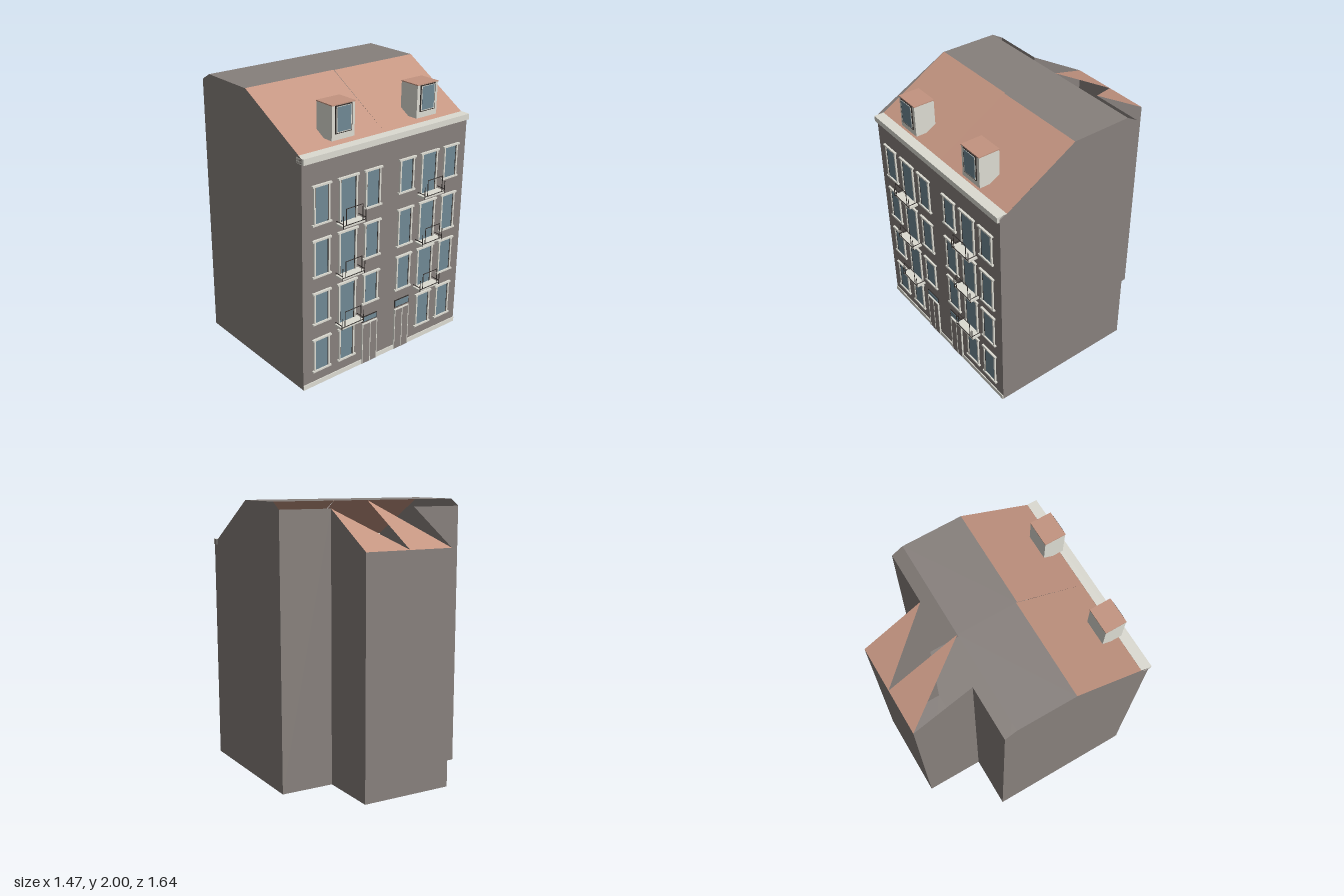
import * as THREE from 'three';

const mat = (name, color, side = THREE.FrontSide) => {
  const m = new THREE.MeshStandardMaterial({ color, side });
  m.name = name;
  return m;
};

export function createModel() {
  const model = new THREE.Group();
  model.name = 'townHouses';
  const wall = mat('wallGrey', 0x87807c, THREE.DoubleSide);
  const tile = mat('roofTile', 0xc39480, THREE.DoubleSide);
  const cream = mat('creamTrim', 0xdcdbd2);
  const glass = mat('windowGlass', 0x708894);
  const dark = mat('darkIron', 0x35302e);

  // Flat convex panel from its corner points
  const panel = (name, material, pts) => {
    const tris = [];
    for (let i = 1; i < pts.length - 1; i++) tris.push(...pts[0], ...pts[i], ...pts[i + 1]);
    const g = new THREE.BufferGeometry();
    g.setAttribute('position', new THREE.Float32BufferAttribute(tris, 3));
    g.computeVertexNormals();
    const m = new THREE.Mesh(g, material);
    m.name = name;
    model.add(m);
  };
  // Box given by its min and max on each axis
  const box = (name, material, x0, x1, y0, y1, z0, z1, parent = model) => {
    const m = new THREE.Mesh(new THREE.BoxGeometry(x1 - x0, y1 - y0, z1 - z0), material);
    m.position.set((x0 + x1) / 2, (y0 + y1) / 2, (z0 + z1) / 2);
    m.name = name;
    parent.add(m);
    return m;
  };

  const L = -0.735, R = 0.73, W = 0.34; // outer walls and half width of the rear wing
  const F = 0.745, B = -0.37, E = -0.82; // front, main back, wing back
  const eave = 1.69, backTop = 1.95;

  // Front wall, gables and rear walls
  panel('frontWall', wall, [[L, 0, F], [R, 0, F], [R, eave, F], [L, eave, F]]);
  const gable = [[F, 0], [B, 0], [B, backTop], [-0.285, 2], [0.155, 2], [0.69, eave], [F, eave]];
  for (const [x, s] of [[L, -1], [R, 1]]) {
    const pts = gable.map(([z, y]) => [x, y, z]);
    panel('gableWall', wall, s > 0 ? pts : pts.reverse());
    const back = [[x, 0, B], [s * W, 0, B], [s * W, backTop, B], [x, backTop, B]];
    panel('backWall', wall, s > 0 ? back : back.reverse());
    const side = [[s * W, 0, B], [s * W, 0, E], [s * W, eave, E], [s * W, backTop, B]];
    panel('wingSideWall', wall, s > 0 ? side : side.reverse());
  }
  panel('wingBackWall', wall, [[W, 0, E], [-W, 0, E], [-W, eave, E], [W, eave, E]]);
  panel('floor', wall, [[L, 0, B], [R, 0, B], [R, 0, F], [L, 0, F]]);
  panel('wingFloor', wall, [[-W, 0, E], [W, 0, E], [W, 0, B], [-W, 0, B]]);

  // Roof in two halves, with the open rear wing's two tiled triangles
  for (const [a, b, z] of [[L, 0, 0.15], [0, R, 0.158]]) {
    panel('flatRoof', wall, [[a, 2, z], [b, 2, z], [b, 2, -0.285], [a, 2, -0.285]]);
    panel('frontRoof', tile, [[a, eave, 0.69], [b, eave, 0.69], [b, 2, z], [a, 2, z]]);
  }
  panel('wingRoof', tile, [[0, eave, E], [-W, eave, E], [0, 2, -0.285]]);
  panel('wingRoof', tile, [[W, eave, E], [0, eave, E], [W, backTop, B]]);

  // Cornice and plinth
  box('cornice', cream, L, R, 1.65, 1.692, 0.69, 0.765);
  box('plinth', cream, L, R, 0, 0.035, 0.74, 0.752);

  // Sash window: glass plate, slim frame, lintel and sill
  const windowAt = (x, w, y0, y1, sill = true) => {
    const g = new THREE.Group();
    g.name = 'window';
    const h = w / 2;
    box('glass', glass, x - h, x + h, y0, y1, F, F + 0.005, g);
    for (const s of [-1, 1]) {
      const c = x + s * (h + 0.006);
      box('jamb', cream, c - 0.006, c + 0.006, y0, y1, F, F + 0.012, g);
      const d = x + s * (h - 0.003);
      box('sash', dark, d - 0.002, d + 0.002, y0, y1, F, F + 0.007, g);
    }
    box('lintel', cream, x - h - 0.024, x + h + 0.024, y1, y1 + 0.013, F, F + 0.016, g);
    if (sill) box('sill', cream, x - h - 0.024, x + h + 0.024, y0 - 0.012, y0, F, F + 0.016, g);
    model.add(g);
  };

  // Balcony: slab with a thin iron railing
  const balconyAt = (x, y) => {
    const g = new THREE.Group();
    g.name = 'balcony';
    const t = 0.002, z = 0.817;
    box('slab', cream, x - 0.098, x + 0.098, y - 0.016, y, F, 0.815, g);
    for (const s of [-1, 1]) {
      const p = x + s * 0.096, q = x + s * 0.07;
      box('cornerPost', dark, p - t, p + t, y - 0.016, y + 0.075, z - t, z + t, g);
      box('innerPost', dark, q - t, q + t, y, y + 0.12, z - t, z + t, g);
      box('sideRail', dark, p - t, p + t, y + 0.014, y + 0.018, F, z, g);
    }
    box('topRail', dark, x - 0.07, x + 0.07, y + 0.117, y + 0.121, z - t, z + t, g);
    box('bottomRail', dark, x - 0.096, x + 0.096, y, y + 0.004, z - t, z + t, g);
    model.add(g);
  };

  // Upper storeys: [outer sill, balcony level, window top]
  const houses = [
    { centre: -0.36, outer: [-0.58, -0.147], ground: [-0.58, -0.36],
      rows: [[0.497, 0.42, 0.715], [0.85, 0.8, 1.1], [1.225, 1.18, 1.48]], low: [0.125, 0.36] },
    { centre: 0.372, outer: [0.16, 0.58], ground: [0.375, 0.58],
      rows: [[0.5, 0.46, 0.75], [0.847, 0.825, 1.112], [1.253, 1.19, 1.48]], low: [0.122, 0.373] },
  ];
  for (const h of houses) {
    for (const [sill, deck, top] of h.rows) {
      for (const x of h.outer) windowAt(x, 0.108, sill, top);
      windowAt(h.centre, 0.128, deck, top, false);
      balconyAt(h.centre, deck);
    }
    for (const x of h.ground) windowAt(x, 0.112, h.low[0], h.low[1]);
  }

  // Double doors with a glazed transom
  for (const [x, top, t0, t1] of [[-0.148, 0.322, 0.34, 0.385], [0.16, 0.328, 0.35, 0.408]]) {
    const g = new THREE.Group();
    g.name = 'door';
    box('doorLeaves', wall, x - 0.066, x + 0.066, 0, top, F, 0.754, g);
    for (const dx of [-0.066, 0.004, 0.066]) {
      box('doorStile', cream, x + dx - 0.003, x + dx + 0.003, 0, top, F, 0.757, g);
    }
    box('doorHead', cream, x - 0.069, x + 0.069, top, top + 0.007, F, 0.757, g);
    box('transomFrame', dark, x - 0.07, x + 0.07, t0, t1, F, 0.751, g);
    box('transomGlass', glass, x - 0.064, x + 0.064, t0 + 0.006, t1 - 0.006, F, 0.754, g);
    model.add(g);
  }

  // Dormers with a tiled cap and a dark-framed window
  for (const x of [-0.367, 0.37]) {
    const g = new THREE.Group();
    g.name = 'dormer';
    box('dormerBody', cream, x - 0.094, x + 0.094, 1.73, 1.958, 0.545, 0.7, g);
    box('dormerCap', tile, x - 0.096, x + 0.096, 1.958, 1.965, 0.543, 0.702, g);
    box('dormerFrame', dark, x - 0.068, x + 0.068, 1.773, 1.957, 0.7, 0.706, g);
    box('dormerSash', cream, x - 0.062, x + 0.062, 1.779, 1.951, 0.7, 0.708, g);
    box('dormerGlass', glass, x - 0.055, x + 0.055, 1.785, 1.948, 0.702, 0.71, g);
    model.add(g);
  }
  return model;
}
